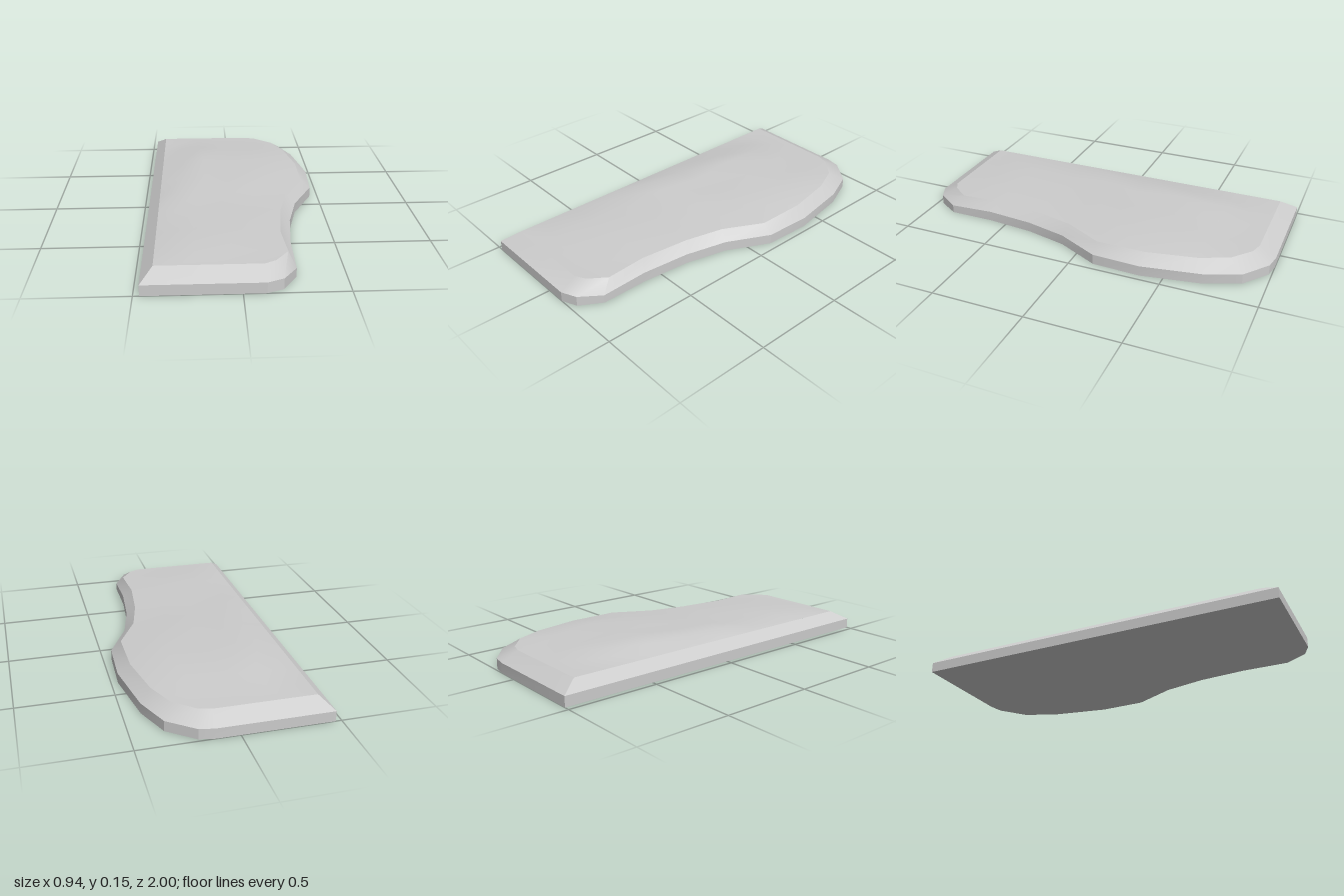
import * as THREE from 'three';
import { toCreasedNormals } from 'three/addons/utils/BufferGeometryUtils.js';

// Curved side, back to front: [foot x, foot z, rim x, rim z]
const side = [
  [0.12, -1, 0.11, -0.91], [0.2, -0.985, 0.18, -0.89], [0.335, -0.88, 0.285, -0.8],
  [0.41, -0.7, 0.35, -0.65], [0.465, -0.38, 0.4, -0.39], [0.455, -0.12, 0.4, -0.12],
  [0.34, 0.11, 0.29, 0.09], [0.285, 0.34, 0.24, 0.3], [0.26, 0.6, 0.21, 0.57],
  [0.26, 0.85, 0.225, 0.79], [0.19, 0.965, 0.16, 0.88], [0.11, 1, 0.105, 0.91],
];
const outline = [[-0.47, -1, -0.41, -0.91], ...side, [-0.47, 1, -0.41, 0.91]];
const RIM = 0.105;
const LEDGE = 0.055;

// Heights of the uneven top between its two edges, one row per side point
const columns = [0, 0.15, 0.3, 0.5, 0.75, 1];
const heights = [
  [0.105, 0.105, 0.105, 0.105], [0.106, 0.106, 0.106, 0.106], [0.107, 0.109, 0.108, 0.108],
  [0.117, 0.129, 0.119, 0.122], [0.133, 0.148, 0.128, 0.139], [0.129, 0.128, 0.122, 0.126],
  [0.132, 0.133, 0.122, 0.118], [0.114, 0.116, 0.116, 0.114], [0.117, 0.122, 0.12, 0.116],
  [0.111, 0.114, 0.114, 0.11], [0.106, 0.106, 0.106, 0.106], [0.105, 0.105, 0.105, 0.105],
];

// Surface through rows of points
function loft(rows, crease) {
  const n = rows[0].length;
  const index = [];
  for (let r = 0; r < rows.length - 1; r++) {
    for (let c = 0; c < n - 1; c++) {
      const a = r * n + c;
      index.push(a, a + n, a + 1, a + 1, a + n, a + n + 1);
    }
  }
  const geometry = new THREE.BufferGeometry();
  geometry.setAttribute('position', new THREE.Float32BufferAttribute(rows.flat(2), 3));
  geometry.setIndex(index);
  return toCreasedNormals(geometry, crease);
}

export function createModel() {
  const group = new THREE.Group();
  group.name = 'contouredSlab';
  const material = new THREE.MeshStandardMaterial({ color: 0xcccccc });
  const add = (name, geometry) => {
    const mesh = new THREE.Mesh(geometry, material);
    mesh.name = name;
    group.add(mesh);
  };

  // Closed rings; the ledge dips slightly at the front curved corner
  const ring = (fn) => [...outline, outline[0]].map(fn);
  const foot = ring(([x, z]) => [x, 0, z]);
  const ledge = ring(([x, z]) => [x, x === 0.26 && z > 0.8 ? 0.045 : LEDGE, z]);
  const rim = ring(([, , x, z]) => [x, RIM, z]);
  add('sideWall', loft([foot, ledge], 0.3));
  add('bevel', loft([ledge, rim], 0.6));

  // Gently rolling top
  const top = side.map(([, , x, z], r) =>
    columns.map((t, c) => [
      THREE.MathUtils.lerp(-0.41, x, t),
      c === 0 || c === columns.length - 1 ? RIM : heights[r][c - 1],
      z,
    ]));
  add('topSurface', loft(top, 0.8));

  // Flat underside
  const shape = new THREE.Shape(outline.map(([x, z]) => new THREE.Vector2(x, z)));
  add('underside', new THREE.ShapeGeometry(shape).rotateX(Math.PI / 2));

  return group;
}
